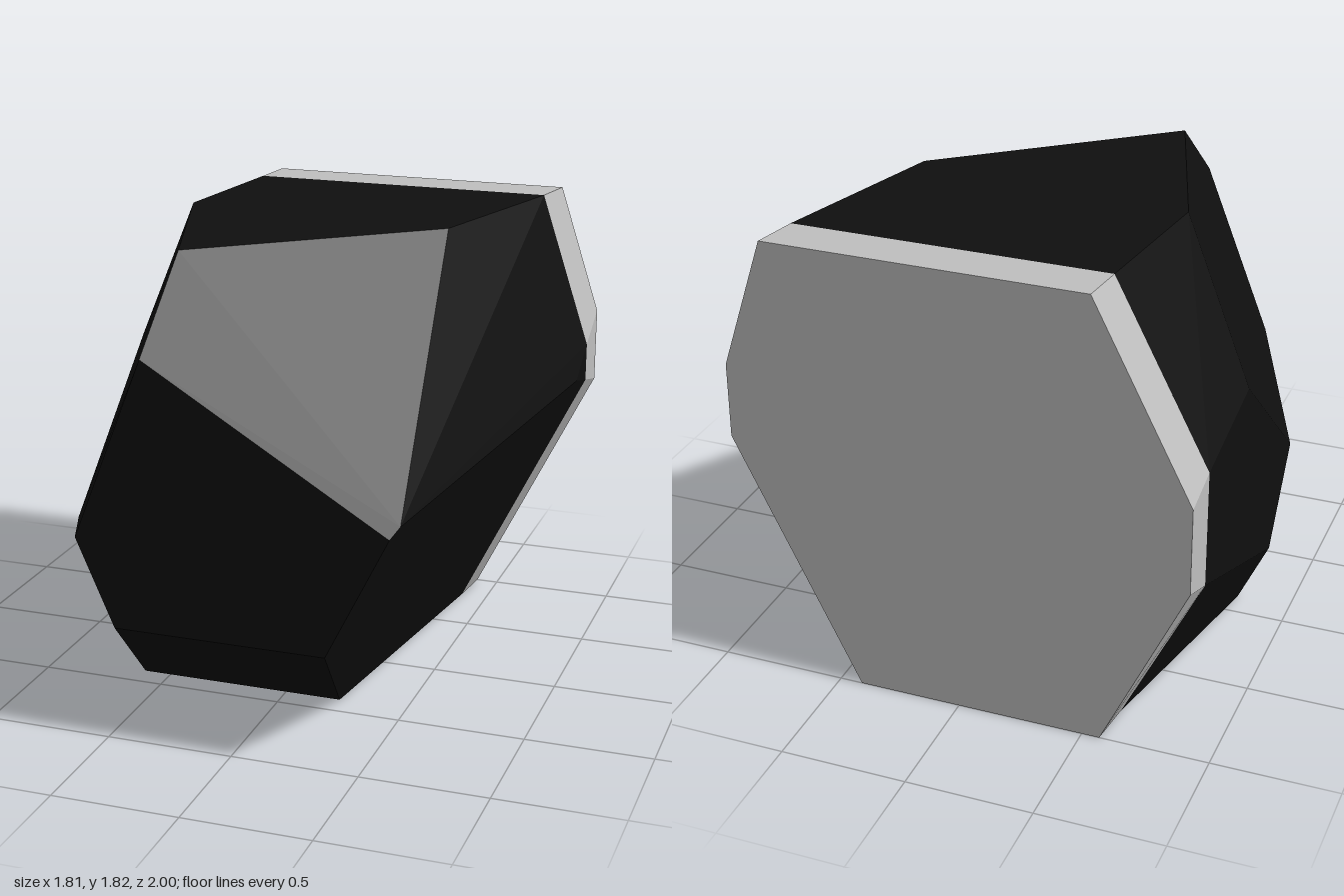
import * as THREE from 'three';
import { ConvexGeometry } from 'three/addons/geometries/ConvexGeometry.js';

const toPoints = (list) => list.map(([x, y, z]) => new THREE.Vector3(x, y, z));

// Octagonal outlines of the pale base, listed as [x, y]
const outerRim = [[0.735, 1.82], [0.905, 1.3], [0.905, 1.0], [0.41, 0],
  [-0.57, 0], [-0.905, 0.71], [-0.905, 1.06], [-0.52, 1.82]];
const innerRim = [[0.7, 1.82], [0.905, 1.2], [0.905, 1.045], [0.39, 0],
  [-0.59, 0], [-0.905, 0.64], [-0.905, 1.11], [-0.54, 1.82]];

const BACK = -1, SEAM = -0.815;

// Corners of the dark faceted body in front of the seam
const bodyCorners = [
  // flat front facet
  [-0.61, 0.8, 1], [-0.46, 0.455, 1], [0.37, 0.455, 1], [0.61, 0.94, 1], [-0.33, 1.51, 1],
  // small chamfer and ridge on the +x side
  [0.635, 0.976, 0.95], [0.905, 1.09, -0.64],
  // top facet
  [-0.34, 1.82, 0.6], [0.5, 1.82, -0.08], [-0.61, 1.82, -0.2],
  // -x side facet
  [-0.905, 1.21, -0.33], [-0.905, 0.62, 0.36], [-0.905, 0.27, 0.1],
  // bottom facet
  [-0.78, 0, 0.11], [-0.61, 0, 0.4], [0.226, 0, 0.4],
];

export function createModel() {
  const black = new THREE.MeshStandardMaterial({ color: 0x0f0f0f });
  black.name = 'black';
  const grey = new THREE.MeshStandardMaterial({ color: 0xbfbfbf });
  grey.name = 'paleGrey';

  const atDepth = (rim, z) => rim.map(([x, y]) => [x, y, z]);
  const seam = atDepth(innerRim, SEAM);

  // Convex chunk from a list of corners, with flat facets
  const chunk = (name, corners, material) => {
    const mesh = new THREE.Mesh(new ConvexGeometry(toPoints(corners)), material);
    mesh.name = name;
    return mesh;
  };

  const group = new THREE.Group();
  group.name = 'facetedStone';
  group.add(
    chunk('stoneBody', [...bodyCorners, ...seam], black),
    chunk('stoneBase', [...atDepth(outerRim, BACK), ...seam], grey),
  );
  return group;
}
